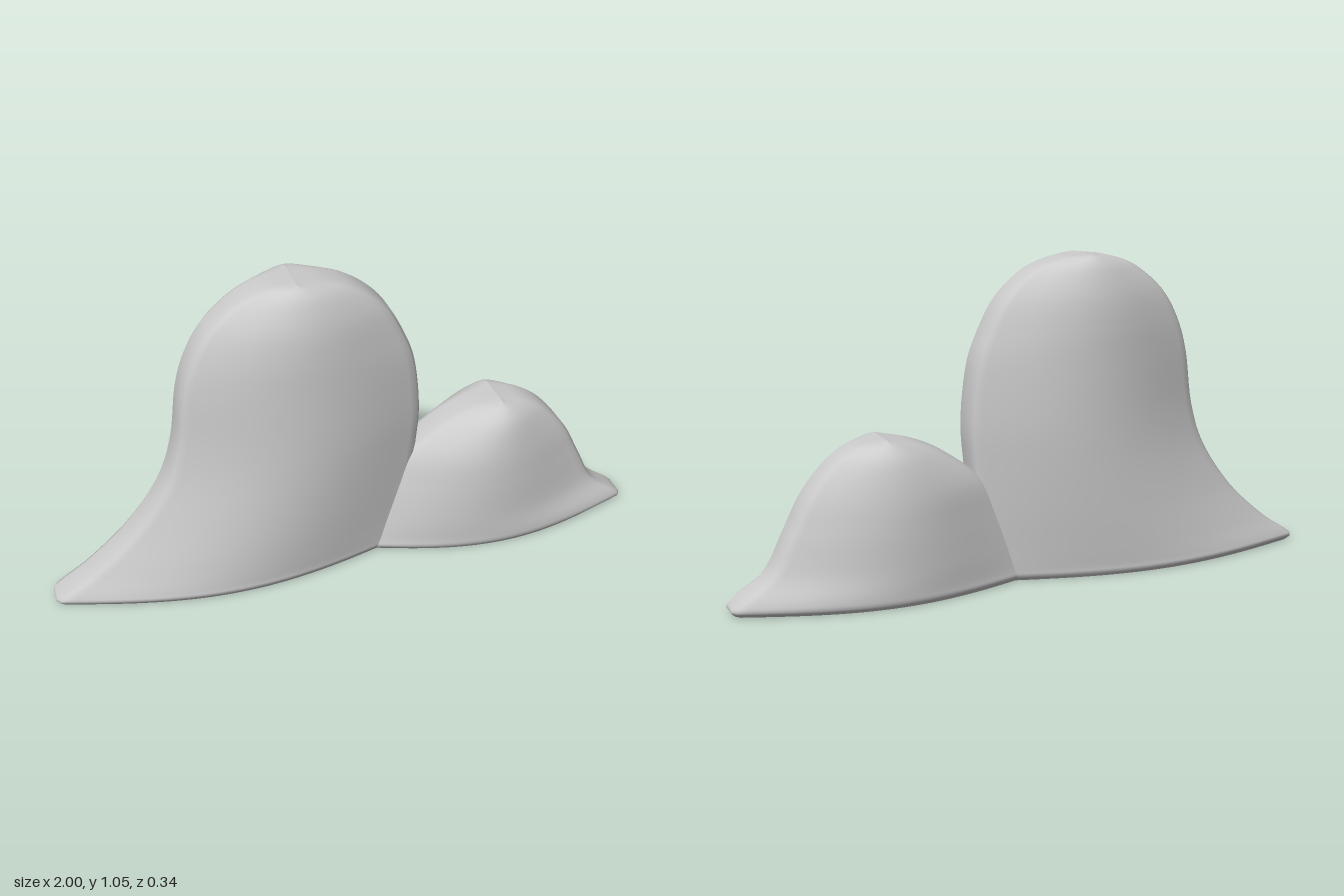
import * as THREE from 'three';

const STEPS = 6; // rings between two profile rows
const N = 32; // points along each side of a ring

// Lens-shaped horizontal sections, lofted upwards.
// Each row: [height, left x, right x, half thickness, half thickness at the ends]
function lobe(name, rows) {
  const shape = new THREE.CatmullRomCurve3(
    rows.map(([y, l, r]) => new THREE.Vector3(l, y, r)), false, 'catmullrom', 0.5);
  const depth = new THREE.CatmullRomCurve3(
    rows.map(([y, l, r, m, e]) => new THREE.Vector3(m, e, 0)), false, 'catmullrom', 0.5);

  const rings = (rows.length - 1) * STEPS;
  const size = 2 * (N + 3);
  const pos = [];
  const index = [];
  for (let j = 0; j <= rings; j++) {
    const { x: left, y, z: right } = shape.getPoint(j / rings);
    const { x: mid, y: edge } = depth.getPoint(j / rings);
    const width = right - left;
    const inset = Math.min(0.012, width * 0.1);
    const side = [[left, edge * 0.65]];
    for (let i = 0; i <= N; i++) {
      const u = i / N;
      side.push([left + inset + (width - 2 * inset) * u, edge + (mid - edge) * Math.sin(Math.PI * u)]);
    }
    side.push([right, edge * 0.65]);
    for (const [x, z] of side) pos.push(x, y, z);
    for (const [x, z] of side.reverse()) pos.push(x, y, -z);
  }
  for (let j = 0; j < rings; j++) {
    for (let i = 0; i < size; i++) {
      const a = j * size + i, b = j * size + (i + 1) % size;
      index.push(a, b, b + size, a, b + size, a + size);
    }
  }

  // Flat underside with its own vertices, so its rim stays crisp
  const base = pos.length / 3;
  pos.push(...pos.slice(0, size * 3));
  pos.push((rows[0][1] + rows[0][2]) / 2, 0, 0);
  for (let i = 0; i < size; i++) index.push(base + size, base + (i + 1) % size, base + i);

  const geometry = new THREE.BufferGeometry();
  geometry.setAttribute('position', new THREE.Float32BufferAttribute(pos, 3));
  geometry.setIndex(index);
  geometry.computeVertexNormals();
  const mesh = new THREE.Mesh(geometry, new THREE.MeshStandardMaterial({ color: 0xcccccc }));
  mesh.name = name;
  return mesh;
}

export function createModel() {
  const model = new THREE.Group();
  model.name = 'twoLobedForm';

  // Tall lobe with a long sweeping foot
  model.add(lobe('tallLobe', [
    [0, -0.985, 0.16, 0.15, 0.04],
    [0.018, -1, 0.17, 0.16, 0.05],
    [0.04, -0.975, 0.17, 0.16, 0.053],
    [0.107, -0.875, 0.18, 0.16, 0.053],
    [0.23, -0.74, 0.2, 0.16, 0.053],
    [0.385, -0.63, 0.218, 0.16, 0.053],
    [0.53, -0.58, 0.227, 0.16, 0.053],
    [0.705, -0.555, 0.207, 0.159, 0.053],
    [0.82, -0.52, 0.165, 0.157, 0.053],
    [0.92, -0.46, 0.107, 0.147, 0.053],
    [1.0, -0.365, 0.015, 0.123, 0.053],
    [1.037, -0.275, -0.085, 0.097, 0.053],
    [1.048, -0.185, -0.185, 0.07, 0.053],
  ]));

  // Low lobe with a short foot
  model.add(lobe('lowLobe', [
    [0, 0.01, 0.985, 0.155, 0.04],
    [0.018, 0.0, 1, 0.165, 0.05],
    [0.045, 0.02, 0.975, 0.167, 0.053],
    [0.117, 0.055, 0.88, 0.167, 0.053],
    [0.24, 0.115, 0.815, 0.167, 0.053],
    [0.35, 0.18, 0.757, 0.16, 0.053],
    [0.445, 0.305, 0.675, 0.138, 0.053],
    [0.492, 0.41, 0.597, 0.105, 0.053],
    [0.51, 0.507, 0.507, 0.07, 0.053],
  ]));

  return model;
}
